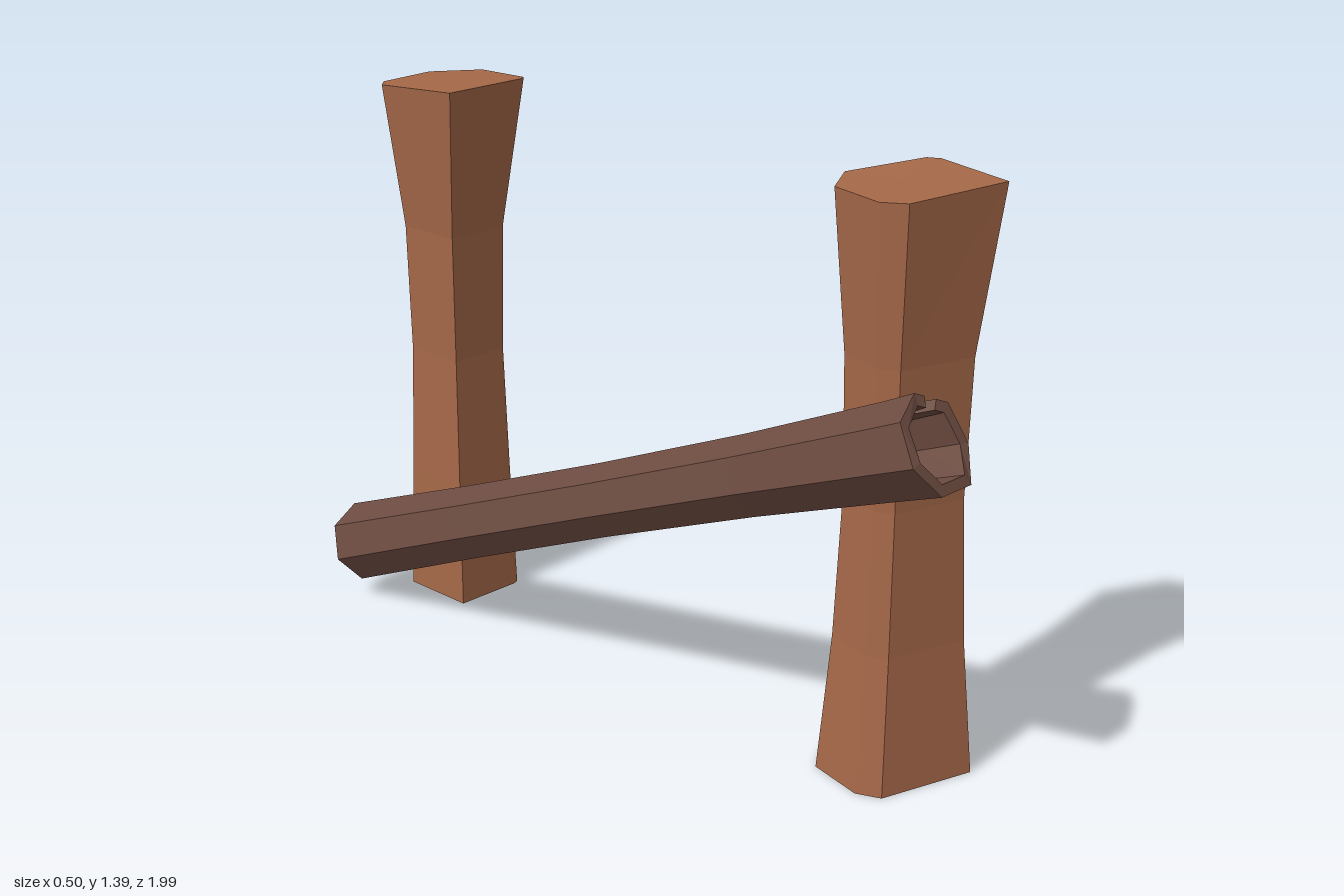
import * as THREE from 'three';

const mat = (color, side = THREE.FrontSide) =>
  new THREE.MeshStandardMaterial({ color, flatShading: true, side });
const wood = mat(0xa56848);
const pipeWood = mat(0x6d4c41, THREE.DoubleSide);
const iron = mat(0x333333);

// Collects loose triangles and quads into a faceted geometry
function facets() {
  const pos = [];
  const tri = (a, b, c) => [a, b, c].forEach((p) => pos.push(p.x, p.y, p.z));
  const quad = (a, b, c, d) => { tri(a, b, c); tri(a, c, d); };
  const build = () => {
    const g = new THREE.BufferGeometry();
    g.setAttribute('position', new THREE.Float32BufferAttribute(pos, 3));
    g.computeVertexNormals();
    return g;
  };
  return { tri, quad, build };
}

function add(parent, name, geometry, material) {
  const m = new THREE.Mesh(geometry, material);
  m.name = name;
  parent.add(m);
  return m;
}

// Waisted post: top outline [x, z, y] scaled about a centre at each level [height, scale, dx, dz]
function postGeometry(outline, cx, cz, levels) {
  const f = facets();
  const rings = levels.map(([h, s, dx, dz]) => outline.map(([x, z, y]) =>
    new THREE.Vector3(cx + dx + (x - cx) * s, h ?? y, cz + dz + (z - cz) * s)));
  const n = outline.length;
  const middle = (ring) => ring.reduce((a, p) => a.add(p), new THREE.Vector3()).divideScalar(n);
  const low = rings[0], high = rings[rings.length - 1];
  const lowMid = middle(low), highMid = middle(high);
  for (let i = 0; i < n; i++) {
    const j = (i + 1) % n;
    for (let k = 0; k < rings.length - 1; k++) {
      f.quad(rings[k][j], rings[k][i], rings[k + 1][i], rings[k + 1][j]);
    }
    f.tri(highMid, high[j], high[i]);
    f.tri(lowMid, low[i], low[j]);
  }
  return f.build();
}

// Hollow seven-sided pipe, sloping down to the back, with a V split in its front rim
function pipeGeometry() {
  const f = facets();
  const front = new THREE.Vector3(-0.14, 0.92, 0.957);
  const back = new THREE.Vector3(-0.145, 0.137, -0.95);
  const axis = back.clone().sub(front).normalize();
  const up = new THREE.Vector3(0, -axis.z, axis.y).normalize();
  const side = new THREE.Vector3(1, 0, 0);
  const length = front.distanceTo(back);
  const stations = [[0, 0.113], [0.13, 0.108], [0.55, 0.095], [1.05, 0.09], [1.55, 0.094], [length, 0.104]];
  // set-back of each front rim corner, counted clockwise from the top
  const setBack = [0.04, 0.035, 0.03, 0, 0, 0, 0.02];

  const ring = (k, wall) => {
    const [s, r] = stations[k];
    const corners = setBack.map((cut, i) => {
      const a = Math.PI / 2 - (i * 2 * Math.PI) / 7;
      return front.clone()
        .addScaledVector(axis, s + (k === 0 ? cut : 0))
        .addScaledVector(side, Math.cos(a) * (r - wall))
        .addScaledVector(up, Math.sin(a) * (r - wall));
    });
    // open loop: right lip of the split, round the corners, left lip
    const gap = k === 0 ? 0.17 : 0;
    const lip = (t) => corners[0].clone().lerp(corners[1], t);
    return [lip(0.47 + gap), ...corners.slice(1), corners[0], lip(0.47 - gap)];
  };
  const outer = stations.map((_, k) => ring(k, 0));
  const inner = stations.map((_, k) => ring(k, 0.027));
  const last = stations.length - 1, n = outer[0].length;
  for (let i = 0; i < n - 1; i++) {
    for (let k = 0; k < last; k++) {
      f.quad(outer[k][i], outer[k][i + 1], outer[k + 1][i + 1], outer[k + 1][i]);
      f.quad(inner[k][i + 1], inner[k][i], inner[k + 1][i], inner[k + 1][i + 1]);
    }
    f.quad(outer[0][i + 1], outer[0][i], inner[0][i], inner[0][i + 1]);
    f.quad(outer[last][i], outer[last][i + 1], inner[last][i + 1], inner[last][i]);
  }
  // walls of the split
  for (const i of [0, n - 1]) f.quad(outer[0][i], inner[0][i], inner[1][i], outer[1][i]);
  return f.build();
}

export function createModel() {
  const model = new THREE.Group();
  model.name = 'pipeOnPosts';

  const frontOutline = [
    [0.06, 0.51, 1.375], [0.235, 0.595, 1.39], [0.25, 0.625, 1.39], [0.19, 0.85, 1.39],
    [-0.055, 0.78, 1.375], [-0.08, 0.72, 1.372], [-0.045, 0.57, 1.372],
  ];
  add(model, 'frontPost', postGeometry(frontOutline, 0.08, 0.68, [
    [0, 0.97, -0.02, 0], [0.33, 0.81, -0.015, 0], [0.67, 0.73, -0.01, -0.002],
    [1, 0.77, -0.008, -0.002], [null, 1, 0, 0],
  ]), wood);

  const backOutline = [
    [-0.03, -0.935, 1.37], [0.13, -0.945, 1.37], [0.22, -0.84, 1.377], [0.19, -0.65, 1.39],
    [0.17, -0.64, 1.39], [-0.065, -0.64, 1.39], [-0.065, -0.9, 1.372],
  ];
  add(model, 'backPost', postGeometry(backOutline, 0.08, -0.8, [
    [0, 0.79, 0, -0.01], [0.33, 0.72, 0, -0.01], [0.67, 0.66, 0, -0.01],
    [1, 0.7, 0, -0.01], [null, 1, 0, 0],
  ]), wood);

  add(model, 'pipe', pipeGeometry(), pipeWood);

  // Five-sided bolt heads on the outer post faces: [name, x, y, z, turn]
  const bolts = [
    ['frontBolt', 0.172, 0.855, 0.715, -0.25],
    ['backBolt', 0.18, 0.24, -0.775, 0.15],
  ];
  for (const [name, x, y, z, turn] of bolts) {
    const head = new THREE.CylinderGeometry(0.026, 0.031, 0.035, 5);
    head.rotateZ(-Math.PI / 2).rotateY(turn);
    add(model, name, head, iron).position.set(x, y, z);
  }
  return model;
}
